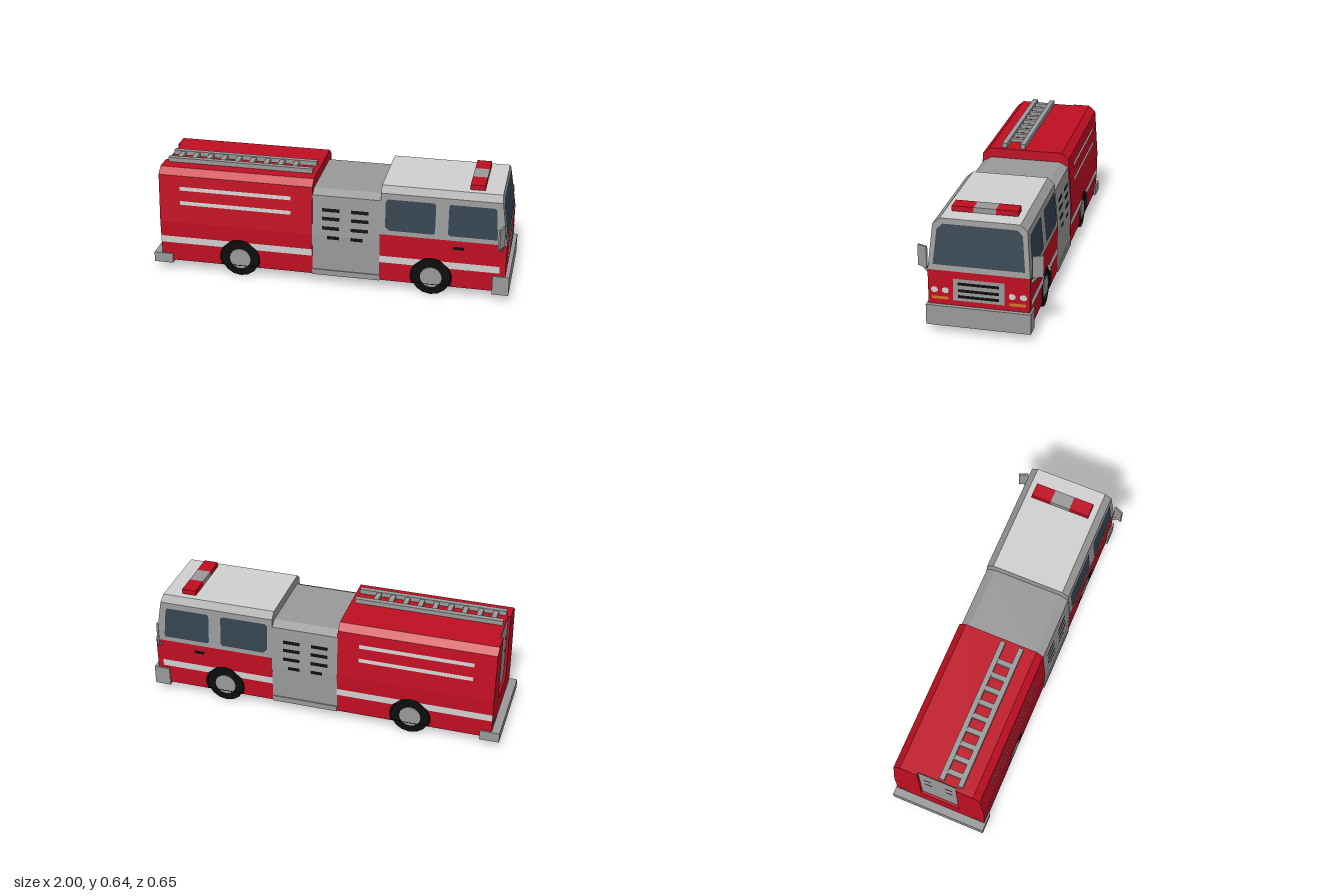
import * as THREE from 'three';

const mat = (name, color, side = THREE.FrontSide) => {
  const m = new THREE.MeshStandardMaterial({ color, side });
  m.name = name;
  return m;
};

export function createModel() {
  const root = new THREE.Group();
  root.name = 'fireEngine';
  const red = mat('red paint', 0xc00e22, THREE.DoubleSide);
  const grey = mat('grey metal', 0x999999, THREE.DoubleSide);
  const white = mat('pale trim', 0xd0d0d0);
  const glass = mat('dark glass', 0x33424e);
  const black = mat('black rubber', 0x0c0c0c);
  const orange = mat('orange lamp', 0xd0762a);

  const add = (name, geo, m) => {
    const mesh = new THREE.Mesh(geo, m);
    mesh.name = name;
    root.add(mesh);
    return mesh;
  };
  // Box given by its limits on each axis
  const box = (name, m, x0, x1, y0, y1, z0, z1) =>
    add(name, new THREE.BoxGeometry(x1 - x0, y1 - y0, z1 - z0), m)
      .position.set((x0 + x1) / 2, (y0 + y1) / 2, (z0 + z1) / 2);
  const shapeGeo = (pts) => new THREE.ShapeGeometry(new THREE.Shape(pts.map(([x, y]) => new THREE.Vector2(x, y))));
  const rect = (a, b, c, d) => [[a, c], [b, c], [b, d], [a, d]];

  // Half-widths [y, z] of the three body sections
  const cab = [[0.06, 0.261], [0.34, 0.263], [0.575, 0.242], [0.607, 0.205]];
  const mid = [[0.06, 0.261], [0.3, 0.261], [0.53, 0.243], [0.555, 0.197]];
  const rear = [[0.06, 0.261], [0.3, 0.266], [0.575, 0.246], [0.609, 0.207]];
  const halfWidth = (prof, y) => {
    let i = 1;
    while (i < prof.length - 1 && y > prof[i][0] + 1e-6) i++;
    const [y0, z0] = prof[i - 1], [y1, z1] = prof[i];
    return z0 + (z1 - z0) * (y - y0) / (y1 - y0);
  };

  // Panel following the side of a section, on both sides
  const sidePanel = (name, m, prof, pts, lift = 0) => {
    for (const s of [1, -1]) {
      const g = shapeGeo(pts.map(([x, y]) => [x * s, y]));
      const p = g.attributes.position;
      for (let i = 0; i < p.count; i++) p.setZ(i, halfWidth(prof, p.getY(i)) + lift);
      if (s < 0) g.rotateY(Math.PI);
      g.computeVertexNormals();
      add((s > 0 ? 'near' : 'far') + name, g, m);
    }
  };
  // Panel across the vehicle facing +x or -x, with x depending on height
  const endPanel = (name, m, pts, xAt, dir) => {
    const g = shapeGeo(pts).rotateY(dir * Math.PI / 2);
    const p = g.attributes.position;
    for (let i = 0; i < p.count; i++) p.setX(i, xAt(p.getY(i)));
    g.computeVertexNormals();
    add(name, g, m);
  };
  const outline = (prof) => [...prof.map(([y, z]) => [z, y]), ...[...prof].reverse().map(([y, z]) => [-z, y])];
  const roof = (name, m, x0, x1, prof) => {
    const [y, z] = prof[3];
    add(name, new THREE.PlaneGeometry(x1 - x0, 2 * z).rotateX(-Math.PI / 2), m).position.set((x0 + x1) / 2, y, 0);
  };
  const noseX = (y) => 0.978 - Math.max(0, y - 0.34) * 0.146;

  // Lower wall with a wheel arch cut into it
  const archWall = (x0, x1, top, wx) => {
    const pts = [[x0, 0.06]];
    for (let i = 0; i <= 12; i++) {
      const a = THREE.MathUtils.degToRad(204 - 19 * i);
      pts.push([wx + 0.115 * Math.cos(a), 0.107 + 0.115 * Math.sin(a)]);
    }
    return [...pts, [x1, 0.06], [x1, top], [x0, top]];
  };
  const stripe = (prof, x0, x1, wx) => {
    sidePanel('StripeBack', white, prof, [[x0, 0.17], [wx - 0.096, 0.17], [wx - 0.05, 0.21], [x0, 0.21]], 0.002);
    sidePanel('StripeFront', white, prof, [[wx + 0.096, 0.17], [x1, 0.17], [x1, 0.21], [wx + 0.05, 0.21]], 0.002);
  };

  // Cab
  const wheelXs = [-0.5, 0.575];
  sidePanel('CabLowerWall', red, cab, archWall(0.29, 0.978, 0.34, wheelXs[1]));
  sidePanel('CabUpperWall', grey, cab, [[0.29, 0.34], [noseX(0.34), 0.34], [noseX(0.575), 0.575], [0.29, 0.575]]);
  sidePanel('CabRoofEdge', grey, cab, [[0.29, 0.575], [noseX(0.575), 0.575], [noseX(0.607), 0.607], [0.29, 0.607]]);
  roof('cabRoof', white, 0.29, noseX(0.607), cab);
  endPanel('cabBack', grey, outline(cab), () => 0.29, -1);
  endPanel('noseLower', red, outline(cab.slice(0, 2)), noseX, 1);
  endPanel('windscreenFrame', grey, outline(cab.slice(1)), noseX, 1);
  endPanel('windscreen', glass,
    [[-0.236, 0.37], [0.236, 0.37], [0.219, 0.553], [0.189, 0.58], [-0.189, 0.58], [-0.219, 0.553]], (y) => noseX(y) + 0.003, 1);
  sidePanel('RearWindow', glass, cab,
    [[0.34, 0.366], [0.58, 0.366], [0.59, 0.376], [0.59, 0.533], [0.58, 0.543], [0.33, 0.543], [0.318, 0.53], [0.318, 0.388]], 0.002);
  sidePanel('FrontWindow', glass, cab,
    [[0.67, 0.366], [0.925, 0.366], [0.925, 0.39], [0.915, 0.53], [0.905, 0.543], [0.67, 0.543], [0.66, 0.533], [0.66, 0.376]], 0.002);
  sidePanel('DoorHandle', black, cab, rect(0.69, 0.75, 0.288, 0.306), 0.003);
  stripe(cab, 0.29, 0.945, wheelXs[1]);

  // Nose details
  const onNose = (name, m, pts, lift = 0.003) => endPanel(name, m, pts, () => 0.978 + lift, 1);
  onNose('grille', grey, rect(-0.132, 0.132, 0.182, 0.302));
  for (const y of [0.207, 0.24, 0.277]) onNose('grilleSlot', black, rect(-0.106, 0.106, y - 0.008, y + 0.008), 0.006);
  for (const s of [1, -1]) {
    for (const z of [0.229, 0.172]) {
      const lamp = [];
      for (let i = 0; i < 8; i++) {
        const a = (i + 0.5) * Math.PI / 4;
        lamp.push([s * z + 0.019 * Math.cos(a), 0.233 + 0.017 * Math.sin(a)]);
      }
      onNose('headlight', white, lamp);
    }
    onNose('indicator', orange, rect(s * 0.2 - 0.043, s * 0.2 + 0.043, 0.182, 0.198));
  }

  // Pump section with louvres and sill
  sidePanel('PumpLowerWall', grey, mid, rect(-0.085, 0.29, 0.06, 0.3));
  sidePanel('PumpUpperWall', grey, mid, rect(-0.085, 0.29, 0.3, 0.53));
  sidePanel('PumpRoofEdge', grey, mid, rect(-0.085, 0.29, 0.53, 0.555));
  roof('pumpRoof', grey, -0.085, 0.29, mid);
  box('pumpSill', grey, -0.085, 0.29, 0.058, 0.09, -0.267, 0.267);
  [0.45, 0.4, 0.345, 0.29].forEach((y, i) => {
    const cut = i === 3 ? 0.03 : 0;
    for (const [a, b] of [[-0.03 + cut, 0.066], [0.13, 0.226 - cut]])
      sidePanel('Louvre', black, mid, rect(a, b, y - 0.01, y + 0.01), 0.003);
  });

  // Rear body
  sidePanel('RearLowerWall', red, rear, archWall(-0.955, -0.085, 0.3, wheelXs[0]));
  sidePanel('RearUpperWall', red, rear, rect(-0.955, -0.085, 0.3, 0.575));
  sidePanel('RearRoofEdge', red, rear, rect(-0.955, -0.085, 0.575, 0.609));
  roof('rearRoof', red, -0.94, -0.085, rear);
  endPanel('rearBodyFront', red, outline(rear), () => -0.085, 1);
  stripe(rear, -0.955, -0.085, wheelXs[0]);
  for (const y of [0.418, 0.502]) sidePanel('UpperStripe', white, rear, rect(-0.835, -0.205, y - 0.011, y + 0.011), 0.003);

  // Tail frame around the recessed door
  const half = rear.map(([y, z]) => [z, y]);
  const tail = [...half, [0.11, 0.609], [0.11, 0.21], [-0.11, 0.21], [-0.11, 0.609],
    ...half.map(([z, y]) => [-z, y]).reverse()];
  const tailGeo = new THREE.ExtrudeGeometry(new THREE.Shape(tail.map(([x, y]) => new THREE.Vector2(x, y))),
    { depth: 0.015, bevelEnabled: false });
  add('tailFrame', tailGeo.rotateY(-Math.PI / 2), red).position.x = -0.94;
  endPanel('rearDoor', grey, rect(-0.11, 0.11, 0.21, 0.609), () => -0.941, -1);
  for (const z of [-0.06, 0.06]) {
    for (const y of [0.42, 0.5]) endPanel('rearDoorSlot', black, rect(z - 0.02, z + 0.02, y - 0.008, y + 0.008), () => -0.943, -1);
  }
  for (const z of [-0.22, 0.22]) {
    endPanel('tailLamp', orange, rect(z - 0.02, z + 0.02, 0.145, 0.165), () => -0.958, -1);
    endPanel('reverseLamp', white, rect(z - 0.02, z + 0.02, 0.118, 0.136), () => -0.958, -1);
  }

  // Bumpers and underside
  box('frontBumper', grey, 0.91, 1, 0.043, 0.153, -0.271, 0.271);
  box('rearStep', grey, -1, -0.892, 0.043, 0.1, -0.271, 0.271);
  box('floor', black, -0.953, 0.976, 0.059, 0.063, -0.26, 0.26);
  box('chassis', black, -0.93, 0.96, 0.06, 0.24, -0.18, 0.18);

  // Wheels
  for (const x of wheelXs) for (const s of [1, -1]) {
    const tyre = new THREE.CylinderGeometry(0.108, 0.108, 0.072, 16).rotateX(Math.PI / 2);
    add('tyre', tyre, black).position.set(x, 0.107, s * 0.219);
    const hub = new THREE.CylinderGeometry(0.06, 0.06, 0.008, 16).rotateX(Math.PI / 2);
    add('hub', hub, grey).position.set(x, 0.104, s * 0.255);
  }

  // Roof ladder
  for (const z of [0.021, 0.126]) box('ladderRail', grey, -0.93, -0.107, 0.609, 0.635, z - 0.014, z + 0.014);
  for (let i = 0; i < 9; i++) {
    const x = -0.874 + i * 0.082;
    box('ladderRung', grey, x - 0.014, x + 0.014, 0.612, 0.63, 0.021, 0.126);
  }

  // Light bar
  box('lightBarCentre', grey, 0.76, 0.84, 0.605, 0.635, -0.057, 0.057);
  box('lightBarLeft', red, 0.76, 0.84, 0.605, 0.635, 0.057, 0.17);
  box('lightBarRight', red, 0.76, 0.84, 0.605, 0.635, -0.17, -0.057);

  // Door mirrors on slanted arms
  for (const s of [1, -1]) {
    const mirror = add('mirror', new THREE.BoxGeometry(0.01, 0.115, 0.056), grey);
    mirror.position.set(0.95, 0.398, s * 0.295);
    mirror.rotation.y = -s * 0.42;
    const path = new THREE.LineCurve3(new THREE.Vector3(0.95, 0.345, s * 0.292), new THREE.Vector3(0.95, 0.305, s * 0.258));
    add('mirrorArm', new THREE.TubeGeometry(path, 1, 0.007, 6), grey);
  }
  return root;
}
